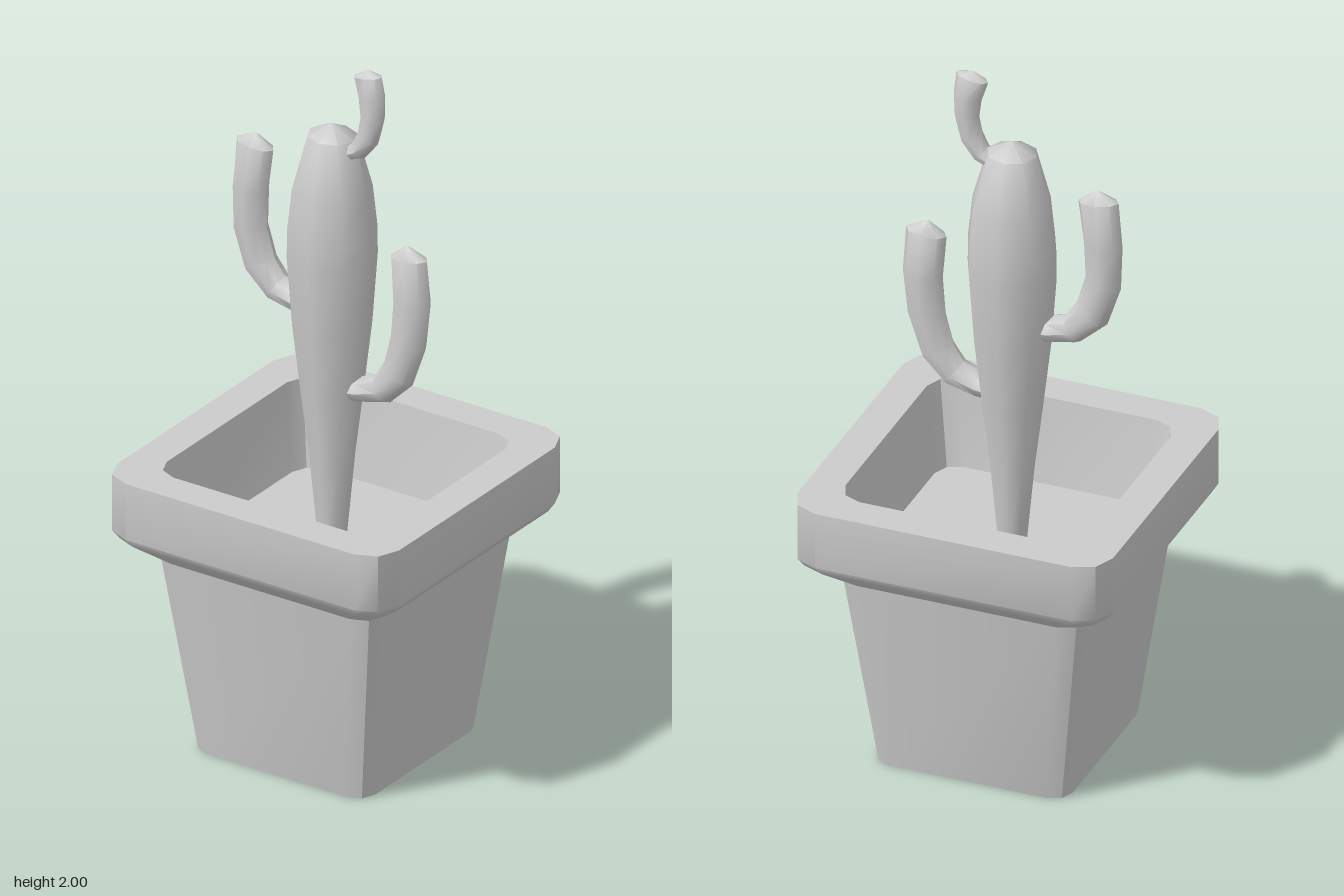
import * as THREE from 'three';
import { toCreasedNormals } from 'three/addons/utils/BufferGeometryUtils.js';

const material = new THREE.MeshStandardMaterial({ color: 0xcccccc });

// Skin a list of closed rings (arrays of Vector3); rings may collapse to a point.
function loft(name, rings, crease) {
  const pos = [];
  const tri = (a, b, c) => {
    if (new THREE.Triangle(a, b, c).getArea() > 1e-8) {
      for (const p of [a, b, c]) pos.push(p.x, p.y, p.z);
    }
  };
  for (let i = 0; i < rings.length - 1; i++) {
    const a = rings[i], b = rings[i + 1], n = a.length;
    for (let j = 0; j < n; j++) {
      const k = (j + 1) % n;
      tri(a[j], a[k], b[k]);
      tri(a[j], b[k], b[j]);
    }
  }
  const geo = new THREE.BufferGeometry();
  geo.setAttribute('position', new THREE.Float32BufferAttribute(pos, 3));
  const mesh = new THREE.Mesh(toCreasedNormals(geo, crease), material);
  mesh.name = name;
  return mesh;
}

// Square outline with bevelled corners, scaled to a half-width.
function squareRing(half, y) {
  const ring = [];
  for (let q = 0; q < 4; q++) {
    const c = Math.round(Math.cos(q * Math.PI / 2)), s = Math.round(Math.sin(q * Math.PI / 2));
    for (const [u, v] of [[1, 0.81], [0.944, 0.944], [0.81, 1]]) {
      ring.push(new THREE.Vector3((u * c - v * s) * half, y, -(u * s + v * c) * half));
    }
  }
  return ring;
}

// Eight-sided oval ring around a centre, facing along a direction in the xy plane.
function ovalRing(x, y, rSide, rDepth, dx = 0, dy = 1) {
  return Array.from({ length: 8 }, (_, i) => {
    const a = i * Math.PI / 4, s = rSide * Math.cos(a);
    return new THREE.Vector3(x + dy * s, y - dx * s, -rDepth * Math.sin(a));
  });
}

// Curved arm: points are [x, y, radius], the last one is the tip.
function arm(name, points, depth) {
  const last = points.length - 1;
  const rings = points.map(([x, y, r], i) => {
    const p = points[Math.max(i - 1, 0)], q = points[Math.min(i + 1, last)];
    const d = new THREE.Vector2(q[0] - p[0], q[1] - p[1]).normalize();
    const z = r === 0 ? 0 : i === last - 1 ? depth * 0.8 : depth;
    return ovalRing(x, y, r, z, d.x, d.y);
  });
  return loft(name, rings, 0.8);
}

export function createModel() {
  const model = new THREE.Group();
  model.name = 'pottedCactus';

  // Pot: underside, tapered wall, flared rim, inner wall
  const potProfile = [
    [0, 0], [0.277, 0], [0.352, 0.575], [0.436, 0.642], [0.45, 0.665],
    [0.45, 0.83], [0.348, 0.83], [0.315, 0.585],
  ];
  model.add(loft('pot', potProfile.map(([h, y]) => squareRing(h, y)), 0.65));

  // Soil inside the pot
  model.add(loft('soil', [squareRing(0.315, 0.585), squareRing(0, 0.585)], 0.5));

  // Trunk: [radius, height]
  const trunk = [
    [0.04, 0.58], [0.064, 0.83], [0.088, 1.02], [0.112, 1.22], [0.127, 1.42],
    [0.126, 1.5], [0.113, 1.62], [0.07, 1.775], [0, 1.81],
  ];
  model.add(loft('trunk', trunk.map(([r, y]) => ovalRing(-0.012, y, r, r * 0.91)), 0.9));

  // Arms
  model.add(arm('leftArm', [
    [0.03, 1.045, 0.033], [0.08, 1.05, 0.035], [0.15, 1.072, 0.042], [0.2, 1.13, 0.05],
    [0.232, 1.235, 0.055], [0.243, 1.35, 0.057], [0.233, 1.48, 0.058], [0.228, 1.517, 0],
  ], 0.04));
  model.add(arm('rightArm', [
    [-0.06, 1.262, 0.033], [-0.12, 1.262, 0.037], [-0.185, 1.278, 0.042], [-0.24, 1.335, 0.05],
    [-0.272, 1.435, 0.051], [-0.272, 1.55, 0.055], [-0.258, 1.68, 0.058], [-0.255, 1.714, 0],
  ], 0.04));
  model.add(arm('topArm', [
    [0.03, 1.735, 0.022], [0.075, 1.757, 0.027], [0.103, 1.8, 0.033], [0.117, 1.86, 0.035],
    [0.115, 1.92, 0.04], [0.102, 1.98, 0.046], [0.1, 2.0, 0],
  ], 0.029));

  return model;
}
